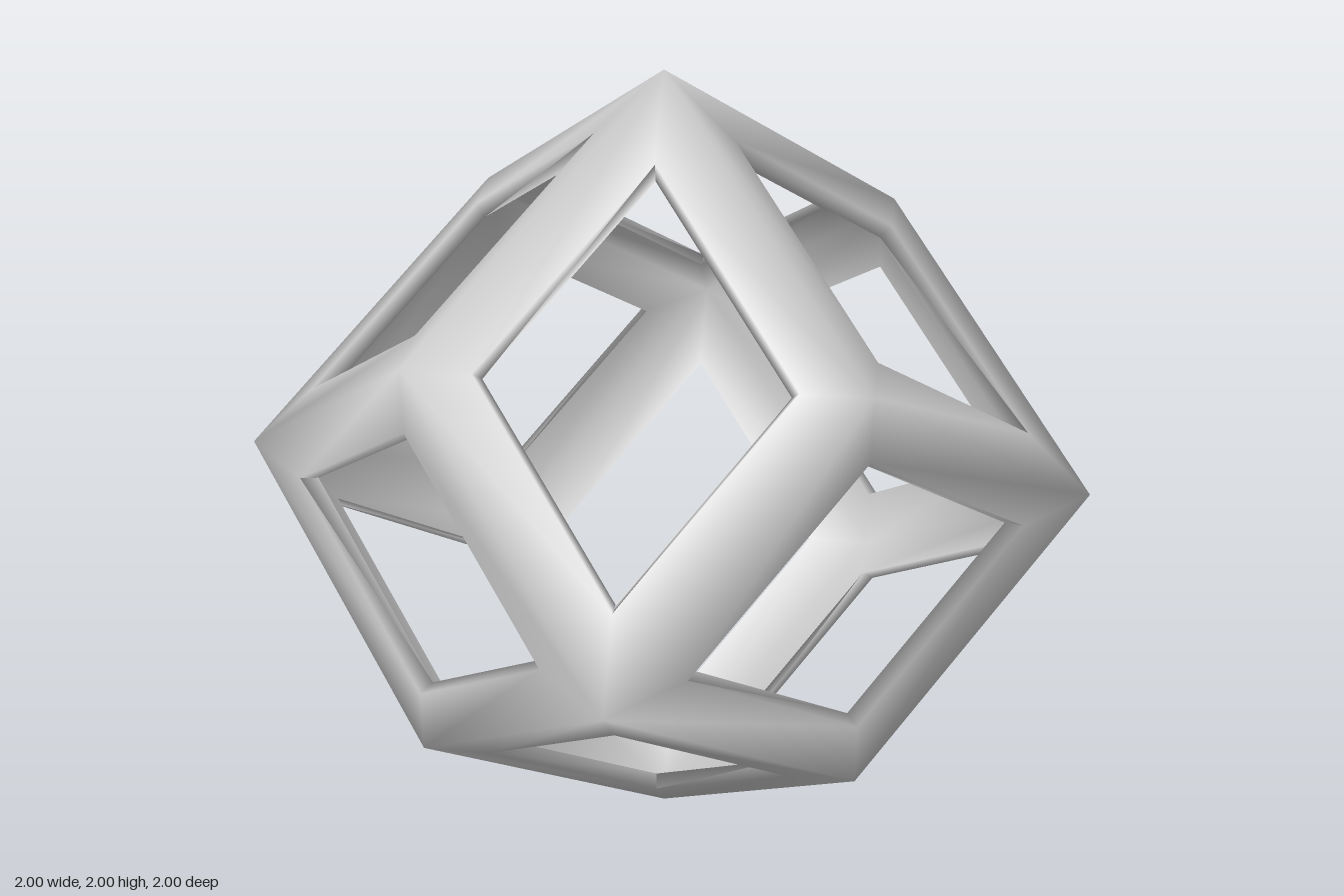
import * as THREE from 'three';
import { mergeVertices } from 'three/addons/utils/BufferGeometryUtils.js';

const HOLE = 0.69;  // opening size relative to its rhombic face
const INNER = 0.95; // inner shell size relative to the outer shell

// Corners of one rhombic face, counter-clockwise seen from outside
function rhombus(a, b, sa, sb) {
  const c = 3 - a - b;
  const A = new THREE.Vector3().setComponent(a, sa);
  const B = new THREE.Vector3().setComponent(b, sb);
  const mid = A.clone().add(B).multiplyScalar(0.5);
  const P = mid.clone().setComponent(c, 0.5);
  const Q = mid.clone().setComponent(c, -0.5);
  const normal = P.clone().sub(A).cross(B.clone().sub(A));
  return { mid, corners: normal.dot(mid) > 0 ? [A, P, B, Q] : [A, Q, B, P] };
}

function frameGeometry() {
  const positions = [];
  const quad = (p, q, r, s) => {
    for (const v of [p, q, r, p, r, s]) positions.push(v.x, v.y, v.z);
  };

  for (const [a, b] of [[0, 1], [1, 2], [2, 0]]) {
    for (const sa of [1, -1]) {
      for (const sb of [1, -1]) {
        const { mid, corners } = rhombus(a, b, sa, sb);
        const rim = corners.map((v) => mid.clone().lerp(v, HOLE));
        const shrink = (list) => list.map((v) => v.clone().multiplyScalar(INNER));
        // Outer bars, opening walls, inner bars
        const loops = [corners, rim, shrink(rim), shrink(corners)];
        for (let k = 0; k < 3; k++) {
          for (let i = 0; i < 4; i++) {
            const j = (i + 1) % 4;
            quad(loops[k][i], loops[k][j], loops[k + 1][j], loops[k + 1][i]);
          }
        }
      }
    }
  }

  // Weld the corners so that shading runs smoothly over the bars
  const geometry = new THREE.BufferGeometry();
  geometry.setAttribute('position', new THREE.Float32BufferAttribute(positions, 3));
  const welded = mergeVertices(geometry, 1e-4);
  welded.computeVertexNormals();
  return welded;
}

export function createModel() {
  const group = new THREE.Group();
  group.name = 'rhombicDodecahedronFrame';
  const frame = new THREE.Mesh(
    frameGeometry(),
    new THREE.MeshStandardMaterial({ color: 0xcccccc })
  );
  frame.name = 'openFrame';
  frame.position.y = 1;
  group.add(frame);
  return group;
}
